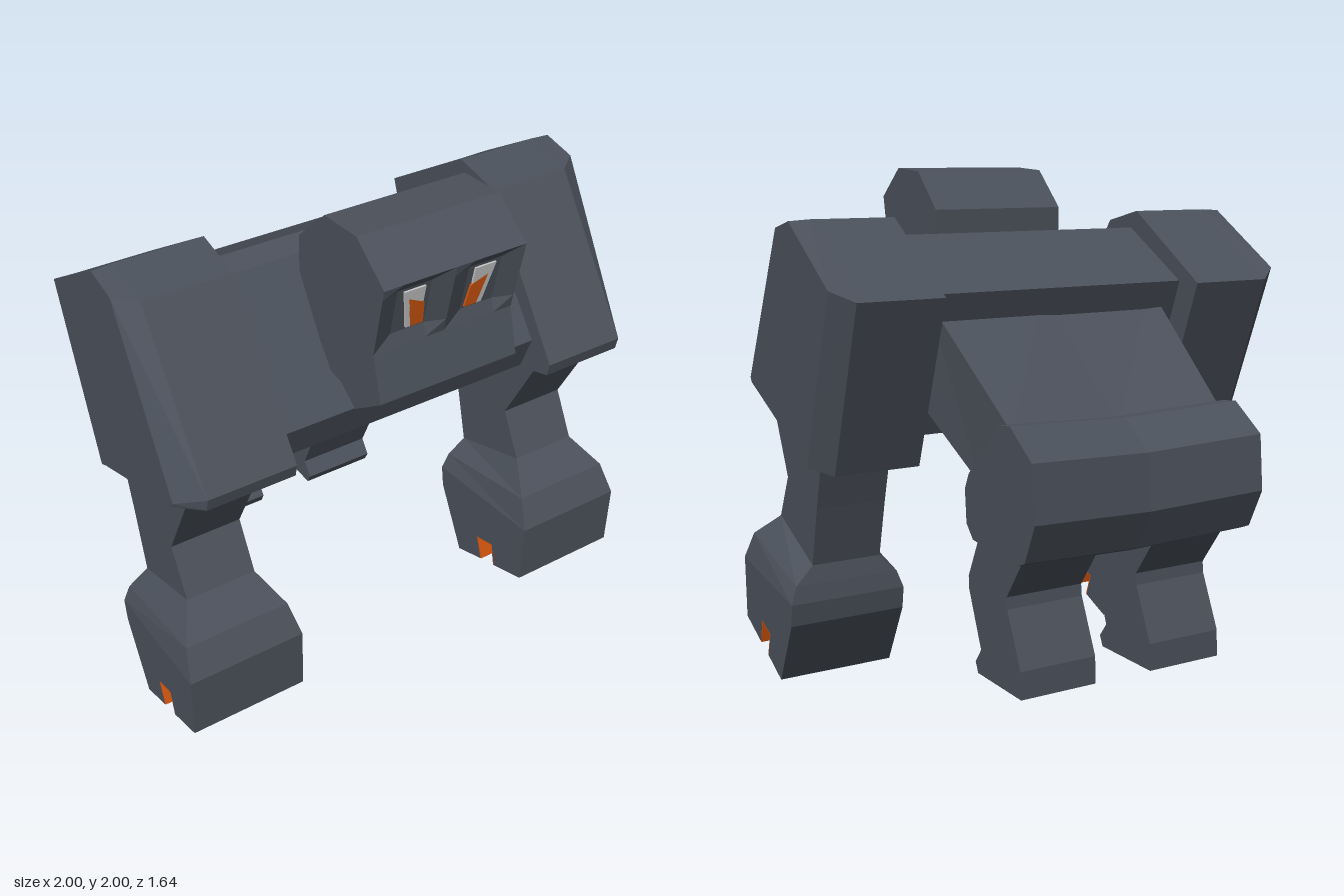
import * as THREE from 'three';

const mat = (name, color) => Object.assign(
  new THREE.MeshStandardMaterial({ color, flatShading: true }), { name });

// Closed solid through a list of equal-length loops; faces are turned outward by signed volume.
function loft(name, loops, material) {
  const n = loops[0].length, tris = [];
  const quad = (a, b, c, d) => tris.push([a, b, c], [a, c, d]);
  for (let k = 0; k < loops.length - 1; k++)
    for (let i = 0; i < n; i++) {
      const j = (i + 1) % n;
      quad(loops[k][i], loops[k][j], loops[k + 1][j], loops[k + 1][i]);
    }
  const first = loops[0], last = loops[loops.length - 1];
  let caps = [[0, 1, 2], [0, 2, 3]];
  let reversed = false;
  if (n > 4) {
    const flat = first.map(p => new THREE.Vector2(p[2], p[1]));
    reversed = THREE.ShapeUtils.isClockWise(flat);
    const idx = flat.map((_, i) => i);
    if (reversed) { flat.reverse(); idx.reverse(); }
    caps = THREE.ShapeUtils.triangulateShape(flat, []).map(f => f.map(i => idx[i]));
  }
  for (const [a, b, c] of caps) {
    const [p, q, r] = reversed ? [c, b, a] : [a, b, c];
    tris.push([first[r], first[q], first[p]], [last[p], last[q], last[r]]);
  }
  const v = p => new THREE.Vector3(...p);
  let volume = 0;
  for (const t of tris) volume += v(t[0]).dot(v(t[1]).cross(v(t[2])));
  if (volume < 0) tris.forEach(t => t.reverse());
  const geo = new THREE.BufferGeometry();
  geo.setAttribute('position', new THREE.Float32BufferAttribute(tris.flat(2), 3));
  geo.computeVertexNormals();
  const mesh = new THREE.Mesh(geo, material);
  mesh.name = name;
  return mesh;
}

// Side profile [z, y] placed at a given x.
const at = (x, profile) => profile.map(([z, y]) => [x, y, z]);
const shift = (profile, dz, dy) => profile.map(([z, y]) => [z + dz, y + dy]);

export function createModel() {
  const model = new THREE.Group();
  model.name = 'stoneBeast';
  const stone = mat('slate stone', 0x4b515b);
  const glow = mat('glowing orange', 0xd4560f);
  const pale = mat('pale eye', 0xc8c8c8);
  const add = (...args) => model.add(loft(...args));

  // Chest block
  const chest = [[0.25, 1.73], [0.16, 1.755], [-0.19, 1.56], [0.02, 1.0], [0.56, 1.14], [0.61, 1.28]];
  add('chest', [at(-0.56, chest), at(0.56, chest)], stone);

  // Waist, tapering back to the hips with a slight crease along the middle
  const waist = (x0, x1, d) => [
    [x0, 1.53, -0.05], [x1, 1.11 - d, -0.61 + d], [x1, 0.88 - d, -0.37 + d], [x0, 1.14, 0.06]];
  add('waist', [waist(-0.5, -0.45, 0), waist(0, 0, 0.02), waist(0.5, 0.45, 0)], stone);

  // Hips
  const hips = [[-0.57, 1.14], [-0.65, 1.15], [-0.8, 1.05], [-0.82, 0.84], [-0.75, 0.69],
    [-0.69, 0.665], [-0.37, 0.68], [-0.32, 0.73], [-0.31, 0.86], [-0.34, 0.92]];
  add('hips', [at(-0.485, hips), at(0, shift(hips, 0.02, -0.02)), at(0.485, hips)], stone);

  // Head, with sunken eye sockets either side of a central ridge
  const faceZ = y => 0.77 + (y - 1.61) * 0.185;
  const head = dip => [[0.47, 1.99], [0.31, 1.84], [0.31, 1.7], [0.5, 1.4], [0.58, 1.39], [0.67, 1.33],
    [0.82, 1.44], [0.77, 1.61], [faceZ(1.66) - dip, 1.66], [faceZ(1.84) - dip, 1.84],
    [0.82, 1.88], [0.66, 2.0]];
  const cols = [[-0.285, 0], [-0.21, 0.025], [-0.075, 0.025], [0, 0], [0.075, 0.025], [0.21, 0.025], [0.285, 0]];
  add('head', cols.map(([x, dip]) => at(x, head(dip))), stone);

  // Mouth plate under the chin
  const mouth = [[-0.12, 0.676, 1.334], [0.12, 0.676, 1.334], [0.085, 0.712, 1.361], [-0.085, 0.712, 1.361]];
  add('mouth', [0, 0.005].map(o => mouth.map(([x, z, y]) => [x, y - o * 0.81, z + o * 0.59])), glow);

  for (const s of [1, -1]) {
    const side = s > 0 ? 'left' : 'right';
    const mirror = loops => loops.map(l => l.map(([x, y, z]) => [s * x, y, z]));
    const part = (name, loops, m = stone) => add(side + name, mirror(loops), m);

    // Eye: pale upper and outer bands with an orange iris
    const plate = (name, pts, m) => part(name,
      [-0.03, -0.019].map(o => pts.map(([x, y]) => [x, y, faceZ(y) + o + 0.002])), m);
    plate('EyeTop', [[0.1, 1.83], [0.185, 1.83], [0.165, 1.79], [0.1, 1.765]], pale);
    plate('EyeOuter', [[0.185, 1.83], [0.155, 1.67], [0.135, 1.67], [0.16, 1.79]], pale);
    plate('Iris', [[0.163, 1.795], [0.095, 1.76], [0.085, 1.67], [0.137, 1.67]], glow);

    // Shoulder block with a bevelled outer side
    const inner = [[0.32, 1.78], [0.12, 1.825], [-0.31, 1.56], [-0.06, 0.9],
      [0.04, 0.94], [0.62, 1.15], [0.71, 1.18], [0.72, 1.23]];
    const outer = [[0.26, 1.79], [0.12, 1.82], [-0.25, 1.6], [0.01, 0.93],
      [0.05, 0.95], [0.58, 1.15], [0.61, 1.16], [0.62, 1.18]];
    part('Shoulder', [at(0.55, inner), at(0.89, inner), at(0.97, outer)], stone);

    // Forearm flaring out to the hand: front and back [z, y], then x range
    const ring = ([fz, fy, bz, by, x0, x1]) => [[x0, fy, fz], [x1, fy, fz], [x1, by, bz], [x0, by, bz]];
    part('Forearm', [
      [0.61, 1.18, 0.03, 1.0, 0.62, 0.9],
      [0.42, 0.8, 0.11, 0.74, 0.62, 0.9],
      [0.52, 0.62, 0.175, 0.5, 0.62, 0.9],
      [0.645, 0.525, 0.16, 0.43, 0.555, 0.975],
      [0.71, 0.41, 0.15, 0.36, 0.53, 0.998]].map(ring));

    // Hand with a notch across the underside
    const hand = [[0.71, 0.41], [0.71, 0.15], [0.545, 0.09], [0.52, 0.19], [0.42, 0.16],
      [0.455, 0.06], [0.31, 0.005], [0.165, 0.27], [0.15, 0.36]];
    part('Hand', [at(0.53, hand), at(0.998, hand)]);

    // Glowing lining of the notch
    const lining = [
      [[0.546, 0.09], [0.521, 0.19], [0.515, 0.188], [0.54, 0.088]],
      [[0.52, 0.19], [0.42, 0.16], [0.422, 0.154], [0.522, 0.184]],
      [[0.42, 0.16], [0.455, 0.06], [0.461, 0.062], [0.426, 0.162]]];
    lining.forEach(p => part('HandGlow', [at(0.531, p), at(0.997, p)], glow));

    // Hind leg
    const leg = [[-0.35, 0.72], [-0.24, 0.5], [-0.24, 0.455], [-0.335, 0.235], [-0.29, 0.175],
      [-0.31, 0.135], [-0.64, 0.145], [-0.635, 0.25], [-0.54, 0.455], [-0.535, 0.5], [-0.68, 0.7]];
    part('HindLeg', [at(0.122, leg), at(0.437, leg)]);
  }
  return model;
}
